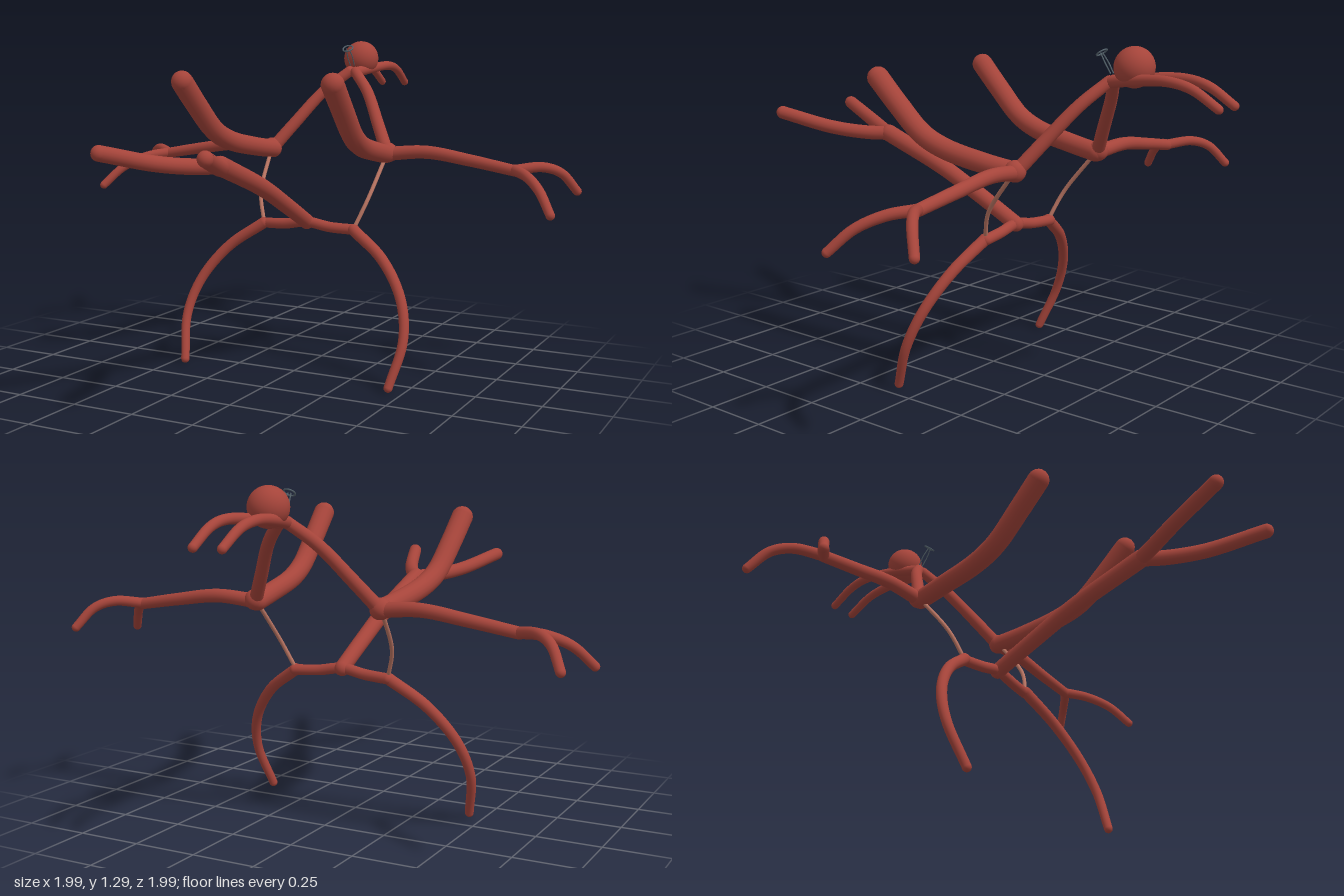
import * as THREE from 'three';

const red = new THREE.MeshStandardMaterial({ color: 0xa5443a });
red.name = 'brickRed';
const pale = new THREE.MeshStandardMaterial({ color: 0xb87462 });
pale.name = 'paleClay';
const slate = new THREE.MeshStandardMaterial({ color: 0x55636c });
slate.name = 'slateBlue';

const v = (p) => new THREE.Vector3(...p);

// Round limb through the points, tapering from r0 to r1, with rounded ends
function limb(name, points, r0, r1, material = red, sides = 16) {
  const group = new THREE.Group();
  group.name = name;
  const curve = new THREE.CatmullRomCurve3(points.map(v));
  const steps = 32;
  const geo = new THREE.TubeGeometry(curve, steps, 1, sides, false);
  const pos = geo.attributes.position;
  const p = new THREE.Vector3();
  for (let i = 0; i <= steps; i++) {
    const c = curve.getPointAt(i / steps);
    const r = r0 + (r1 - r0) * (i / steps);
    for (let j = 0; j <= sides; j++) {
      const k = i * (sides + 1) + j;
      p.fromBufferAttribute(pos, k).sub(c).multiplyScalar(r).add(c);
      pos.setXYZ(k, p.x, p.y, p.z);
    }
  }
  const tube = new THREE.Mesh(geo, material);
  tube.name = name + 'Tube';
  group.add(tube);
  [[points[0], r0], [points[points.length - 1], r1]].forEach(([c, r]) => {
    group.add(ball(name + 'End', c, r, material, 16, 10));
  });
  return group;
}

function ball(name, center, radius, material = red, w = 32, h = 20) {
  const mesh = new THREE.Mesh(new THREE.SphereGeometry(radius, w, h), material);
  mesh.name = name;
  mesh.position.copy(v(center));
  return mesh;
}

export function createModel() {
  const model = new THREE.Group();
  model.name = 'branchingFigure';

  // Head
  model.add(ball('head', [0, 1.22, -0.622], 0.073));

  // Central beam and pelvis bar
  model.add(limb('centralBeam', [[0, 0.585, -0.11], [0, 0.67, 0.06], [0, 0.76, 0.25], [0, 0.87, 0.55]], 0.03, 0.035));
  model.add(limb('pelvisBar', [[-0.2, 0.565, -0.125], [-0.1, 0.57, -0.112], [0, 0.585, -0.108], [0.1, 0.57, -0.112], [0.2, 0.565, -0.125]], 0.021, 0.021));

  // Paired limbs
  for (const s of [1, -1]) {
    const side = s > 0 ? 'left' : 'right';
    const add = (name, pts, r0, r1, mat, n) =>
      model.add(limb(side + name, pts.map(([x, y, z]) => [s * x, y, z]), r0, r1, mat, n));

    add('BeamFork', [[0, 0.87, 0.55], [0.05, 0.872, 0.63], [0.12, 0.89, 0.76], [0.2, 0.94, 0.97]], 0.029, 0.027);
    add('Leg', [[0.2, 0.565, -0.118], [0.34, 0.465, -0.078], [0.44, 0.33, -0.024], [0.475, 0.19, 0.032], [0.445, 0.02, 0.1]], 0.023, 0.017);
    add('Tendon', [[0.2, 0.57, -0.12], [0.238, 0.68, -0.165], [0.26, 0.84, -0.29]], 0.008, 0.008, pale, 10);

    add('Arm', [[0.255, 0.85, -0.3], [0.27, 0.868, -0.18], [0.285, 0.905, 0], [0.295, 0.95, 0.1], [0.304, 1.05, 0.21], [0.31, 1.145, 0.305]], 0.037, 0.042);
    add('Wing', [[0.26, 0.85, -0.305], [0.42, 0.862, -0.318], [0.6, 0.838, -0.318], [0.78, 0.808, -0.31]], 0.028, 0.022);
    add('WingBackBranch', [[0.78, 0.81, -0.31], [0.87, 0.82, -0.375], [0.93, 0.795, -0.425], [0.98, 0.722, -0.478]], 0.021, 0.017);
    add('WingFrontBranch', [[0.78, 0.81, -0.31], [0.85, 0.795, -0.24], [0.92, 0.752, -0.165], [0.98, 0.677, -0.1]], 0.021, 0.017);

    add('Neck', [[0.26, 0.85, -0.305], [0.19, 0.955, -0.375], [0.1, 1.085, -0.465], [0.015, 1.165, -0.53]], 0.026, 0.022);
    add('Horn', [[0.015, 1.163, -0.53], [0.04, 1.178, -0.64], [0.057, 1.187, -0.79], [0.057, 1.168, -0.88], [0.055, 1.11, -0.98]], 0.022, 0.016);

    model.add(ball(side + 'Shoulder', [s * 0.262, 0.855, -0.305], 0.04));
    // Thin stalk under the ring
    add('Stalk', [[0.009, 1.193, -0.53], [0.011, 1.228, -0.508], [0.006, 1.26, -0.486]], 0.0025, 0.0025, slate, 6);
  }

  // Small tilted ring in front of the head
  const ring = new THREE.Mesh(new THREE.TorusGeometry(0.021, 0.003, 8, 24), slate);
  ring.name = 'faceRing';
  ring.position.set(0, 1.263, -0.486);
  ring.lookAt(0, 1.263 + 0.82, -0.486 + 0.57);
  model.add(ring);

  return model;
}
